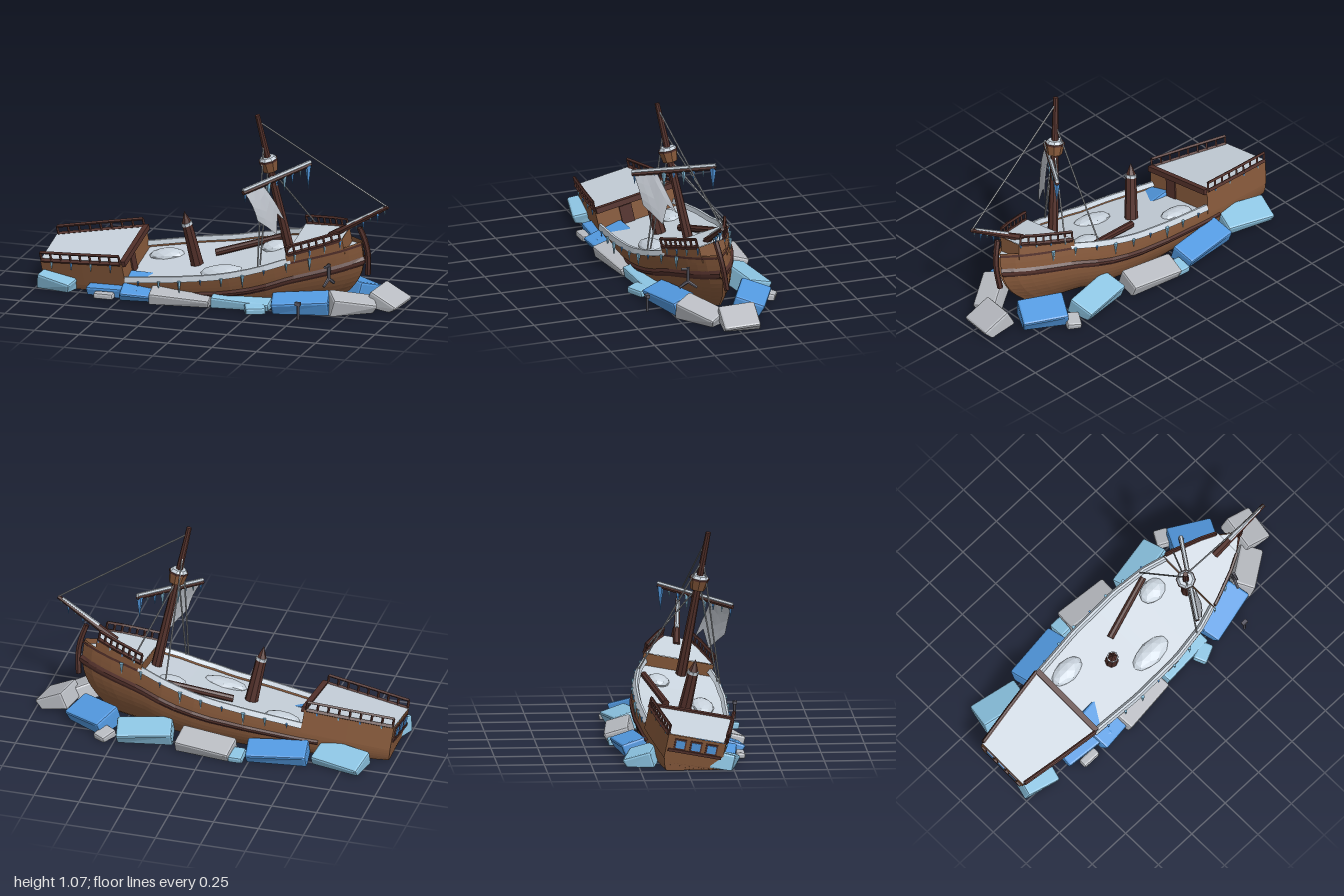
import * as THREE from 'three';
import { RoundedBoxGeometry } from 'three/addons/geometries/RoundedBoxGeometry.js';

const paint = (name, color) => new THREE.MeshStandardMaterial({ name, color, flatShading: true, side: THREE.DoubleSide });
const C = {
  wood: paint('hull wood', 0x85583a), dark: paint('dark wood', 0x52302a), snow: paint('snow', 0xc8d2dc),
  pale: paint('pale ice', 0x8cc4e2), blue: paint('blue ice', 0x5299e0), grey: paint('grey ice', 0xb8bbc1),
  metal: paint('iron', 0x5b5a66), rope: paint('rope', 0xa9adb2), sail: paint('sail', 0xb8bdc5),
};
const V = (x, y, z) => new THREE.Vector3(x, y, z);
const rad = THREE.MathUtils.degToRad;
const lerp = THREE.MathUtils.lerp;

// Ship frame: s forward, v up, u to the side; pitched bow-up and heeled over
const M = new THREE.Matrix4().makeTranslation(0, 0.2, 0.035)
  .multiply(new THREE.Matrix4().makeRotationZ(rad(7))).multiply(new THREE.Matrix4().makeRotationX(rad(11)));
const L = (s, v, u) => V(s, v, u).applyMatrix4(M);

const table = (pts) => (x) => {
  for (let i = 1; i < pts.length; i++) {
    if (x <= pts[i][0]) {
      const [a, b] = [pts[i - 1], pts[i]];
      return lerp(a[1], b[1], Math.max(0, (x - a[0]) / (b[0] - a[0])));
    }
  }
  return pts[pts.length - 1][1];
};
const STERN = -0.983;
const halfW = table([[-1, 0.15], [-0.75, 0.19], [-0.5, 0.225], [-0.2, 0.25], [0.1, 0.25], [0.3, 0.225], [0.45, 0.18], [0.62, 0.115], [0.72, 0.065], [0.79, 0.008]]);
const sheer = table([[-1, 0], [-0.5, 0], [0, 0.01], [0.2, 0.03], [0.42, 0.065], [0.79, 0.08]]);
const depth = table([[-1, 0.17], [-0.5, 0.24], [0, 0.3], [0.79, 0.4]]);
const waleTop = table([[-0.6, 0.3], [0.2, 0.29], [0.79, 0.22]]);
const quarterTop = table([[-1, 0.096], [-0.5, 0.092]]);
const foreTop = table([[0.42, 0.1], [0.71, 0.128]]);

// Point on the hull skin: t runs from the gunwale to the keel
function skin(s, t, side, off = 0) {
  const rake = 0.32 * t ** 3 * THREE.MathUtils.smoothstep(s, 0.1, 0.79);
  return L(s - rake + (s > 0.78 ? off : 0), sheer(s) - depth(s) * t, side * (halfW(s) * (1 - t ** 3) ** 0.6 + off));
}

export function createModel() {
  const root = new THREE.Group();
  const add = (name, geo, mat) => {
    const m = new THREE.Mesh(geo, mat);
    m.name = name;
    root.add(m);
    return m;
  };
  // Grid surface from a function, cut flat at the ground
  const sheet = (name, nu, nv, f, mat) => {
    const pos = [], idx = [];
    for (let i = 0; i <= nu; i++) for (let j = 0; j <= nv; j++) {
      const p = f(i / nu, j / nv);
      pos.push(p.x, Math.max(0, p.y), p.z);
      if (i < nu && j < nv) {
        const a = i * (nv + 1) + j, b = a + nv + 1;
        idx.push(a, b, a + 1, b, b + 1, a + 1);
      }
    }
    const g = new THREE.BufferGeometry();
    g.setAttribute('position', new THREE.Float32BufferAttribute(pos, 3));
    g.setIndex(idx);
    g.computeVertexNormals();
    add(name, g, mat);
  };
  // Tapered round bar between two points
  const bar = (name, a, b, r1, r2, mat, sides = 6) => {
    const d = b.clone().sub(a);
    const m = add(name, new THREE.CylinderGeometry(r2, r1, d.length(), sides), mat);
    m.position.copy(a).addScaledVector(d, 0.5);
    m.quaternion.setFromUnitVectors(V(0, 1, 0), d.normalize());
  };
  const icicle = (p, len, mat) => bar('icicle', p, p.clone().add(V(0, -len, 0)), len * 0.12 + 0.003, 0.0005, mat, 5);
  const boxL = (name, s, v, u, w, h, d, mat) => {
    const m = add(name, new THREE.BoxGeometry(w, h, d), mat);
    m.position.copy(L(s, v, u));
    m.quaternion.setFromRotationMatrix(M);
  };

  // Hull, wale, bulwark caps
  for (const k of [-1, 1]) {
    sheet('hullSide', 28, 14, (a, t) => skin(lerp(STERN, 0.79, a), t, k), C.wood);
    sheet('wale', 28, 3, (a, b) => {
      const s = lerp(-0.6, 0.79, a);
      return skin(s, waleTop(s) + 0.13 * b, k, b > 0 && b < 1 ? 0.012 : 0.001);
    }, C.dark);
    sheet('upperStrake', 28, 1, (a, b) => skin(lerp(-0.5, 0.79, a), lerp(0.02, 0.055, b), k, 0.005), C.dark);
    sheet('snowyCap', 20, 3, (a, b) => {
      const s = lerp(-0.5, 0.44, a);
      return L(s, sheer(s) + [-0.016, 0.012, 0.012, -0.01][Math.round(b * 3)], k * (halfW(s) + 0.01 - 0.036 * b));
    }, C.snow);
    for (let i = 0; i < 9; i++) icicle(skin(-0.42 + i * 0.12, 0.03, k, 0.012), 0.03 + 0.02 * ((i * 7) % 3), i % 3 ? C.pale : C.blue);
  }
  sheet('transom', 1, 14, (a, t) => skin(STERN, t, 2 * a - 1), C.wood);
  sheet('mainDeck', 24, 1, (a, b) => {
    const s = lerp(-0.5, 0.78, a);
    return L(s, sheer(s) - 0.03, (2 * b - 1) * halfW(s) * 0.99);
  }, C.snow);

  // Raised decks at both ends
  const castle = (name, s0, s1, top) => {
    const wall = (s, b, k) => L(s, lerp(sheer(s) - 0.04, top(s), b), k * (halfW(s) + 0.003));
    for (const k of [-1, 1]) sheet(name + 'Side', 8, 1, (a, b) => wall(lerp(s0, s1, a), b, k), C.wood);
    for (const s of [s0, s1]) sheet(name + 'Bulkhead', 1, 1, (a, b) => wall(s, b, 2 * a - 1), C.wood);
    sheet(name + 'Deck', 8, 1, (a, b) => wall(lerp(s0, s1, a), 1, 2 * b - 1).add(V(0, 0.002, 0)), C.snow);
  };
  castle('quarterdeck', STERN, -0.5, quarterTop);
  castle('forecastle', 0.42, 0.71, foreTop);

  // Railings with posts
  const railing = (s0, s1, top, h, n) => {
    for (const k of [-1, 1]) for (let i = 0; i <= n; i++) {
      const at = (j, v) => {
        const s = lerp(s0, s1, j / n);
        return L(s, top(s) + v, k * (halfW(s) + 0.002));
      };
      bar('railPost', at(i, 0), at(i, h), 0.007, 0.007, C.dark, 4);
      if (i < n) {
        bar('handRail', at(i, h), at(i + 1, h), 0.009, 0.009, C.dark, 4);
        bar('deckEdge', at(i, 0), at(i + 1, 0), 0.012, 0.012, C.dark, 4);
      }
      if (i % 2) icicle(at(i, -0.005), 0.045, i % 4 === 1 ? C.pale : C.blue);
    }
  };
  railing(-0.975, -0.51, quarterTop, 0.046, 8);
  railing(0.43, 0.7, foreTop, 0.046, 7);
  boxL('quarterdeckBeam', -0.497, 0.09, 0, 0.03, 0.03, 0.45, C.dark);
  boxL('cabinDoor', -0.495, 0.02, 0.06, 0.008, 0.1, 0.07, C.dark);
  boxL('sternLedge', STERN - 0.003, 0.012, 0, 0.015, 0.015, 0.29, C.dark);
  for (const u of [-0.085, 0, 0.085]) {
    boxL('windowFrame', STERN - 0.003, 0.05, u, 0.008, 0.058, 0.064, C.dark);
    boxL('sternWindow', STERN - 0.007, 0.05, u, 0.008, 0.042, 0.048, C.blue);
  }

  // Stem post and bowsprit
  const stem = new THREE.CatmullRomCurve3([L(0.795, 0.16, 0), L(0.81, 0.08, 0), L(0.812, 0, 0), L(0.79, -0.12, 0)]);
  add('stemPost', new THREE.TubeGeometry(stem, 10, 0.016, 6), C.dark);
  const sprit0 = V(0.6, 0.39, 0.055), sprit1 = V(0.935, 0.588, 0.088);
  bar('bowsprit', sprit0, sprit1, 0.02, 0.011, C.dark);
  bar('bowspritSnow', V(0.7, 0.462, 0.066), V(0.91, 0.584, 0.086), 0.011, 0.008, C.snow);
  for (let i = 0; i < 5; i++) icicle(sprit0.clone().lerp(sprit1, 0.45 + i * 0.125), 0.04 + 0.02 * (i % 2), i % 2 ? C.blue : C.pale);

  // Foremast, lookout and yard
  const foot = V(0.385, 0.24, 0.058), top = V(0.238, 1.067, 0.2);
  const onMast = (y) => foot.clone().lerp(top, (y - foot.y) / (top.y - foot.y));
  bar('foremast', foot, top, 0.03, 0.014, C.dark, 8);
  bar('lookout', onMast(0.75), onMast(0.808), 0.041, 0.052, C.wood, 8);
  bar('lookoutRim', onMast(0.804), onMast(0.814), 0.054, 0.054, C.dark, 8);
  bar('lookoutSnow', onMast(0.812), onMast(0.828), 0.051, 0.038, C.snow, 8);
  const yardA = V(0.2, 0.665, 0.328), yardB = V(0.452, 0.742, -0.055);
  bar('yard', yardA, yardB, 0.013, 0.013, C.dark);
  bar('yardSnow', yardA.clone().add(V(0, 0.013, 0)), yardB.clone().add(V(0, 0.013, 0)), 0.011, 0.011, C.snow);
  [0.06, 0.04, 0.05, 0.1, 0.06, 0.09, 0.07, 0.05, 0.13].forEach((len, i) =>
    icicle(yardA.clone().lerp(yardB, 0.03 + i * 0.117), len, i % 2 ? C.pale : C.blue));

  // Torn sail: strips hanging from the yard to a ragged edge
  const hem = [V(0.27, 0.505, 0.292), V(0.315, 0.46, 0.25), V(0.35, 0.415, 0.21), V(0.345, 0.52, 0.18), V(0.37, 0.475, 0.137)];
  sheet('tornSail', 4, 4, (a, b) => yardA.clone().lerp(yardB, 0.02 + a * 0.27).lerp(hem[Math.round(a * 4)], b)
    .add(V(0.01 * Math.sin(b * Math.PI), 0, 0)), C.sail);

  // Rigging
  [[V(0.245, 1.03, 0.193), sprit1], [onMast(0.92), V(0.26, 0.23, 0.265)], [onMast(0.92), V(0.26, 0.3, -0.185)],
    [onMast(0.8), V(0.27, 0.25, 0.25)], [onMast(0.76), V(0.46, 0.39, -0.13)]]
    .forEach(([a, b]) => bar('rigging', a, b, 0.0045, 0.0045, C.rope, 5));

  // Broken mainmast and fallen spar
  bar('brokenMast', V(-0.15, 0.12, 0.03), V(-0.197, 0.39, 0.087), 0.038, 0.029, C.dark, 8);
  bar('brokenMastTip', V(-0.197, 0.39, 0.087), V(-0.207, 0.458, 0.1), 0.029, 0.002, C.dark, 6);
  bar('brokenMastSnow', V(-0.195, 0.382, 0.085), V(-0.199, 0.397, 0.088), 0.032, 0.031, C.snow, 8);
  bar('fallenSpar', V(-0.08, 0.2, -0.05), V(0.26, 0.295, -0.145), 0.02, 0.018, C.dark, 8);

  // Snow drifts on the deck
  for (const [s, u, a, b] of [[-0.37, -0.12, 0.1, 0.058], [0.02, 0.125, 0.125, 0.062], [0.26, -0.105, 0.082, 0.06]]) {
    const m = add('snowDrift', new THREE.IcosahedronGeometry(1, 1), C.snow);
    m.position.copy(L(s, sheer(s) - 0.03, u));
    m.quaternion.setFromRotationMatrix(M);
    m.scale.set(a, 0.032, b);
  }

  // Ice floes: x, z, length, height, width, turn, tilt along x, tilt along z, material
  const floes = [
    [-0.73, -0.225, 0.28, 0.09, 0.16, -13, 3, -17, C.pale], [-0.39, -0.265, 0.33, 0.1, 0.14, 8, -3, -17, C.blue],
    [-0.18, -0.32, 0.08, 0.05, 0.1, 0, 0, -10, C.pale], [0, -0.295, 0.31, 0.1, 0.14, -7, 3, -17, C.grey],
    [0.35, -0.255, 0.3, 0.11, 0.15, 12, -4, -17, C.pale], [0.56, -0.305, 0.08, 0.05, 0.1, -30, 4, -10, C.grey],
    [0.66, -0.175, 0.25, 0.12, 0.17, -28, -4, -17, C.blue], [0.9, -0.02, 0.17, 0.1, 0.2, -8, -27, 4, C.grey],
    [0.745, 0.14, 0.25, 0.11, 0.13, 32, -12, 14, C.grey], [0.49, 0.22, 0.31, 0.11, 0.14, 14, 4, 15, C.blue],
    [0.26, 0.31, 0.11, 0.05, 0.08, 25, 0, 8, C.pale], [0.16, 0.23, 0.32, 0.08, 0.13, 4, -4, 12, C.pale],
    [-0.17, 0.28, 0.33, 0.08, 0.11, 6, -4, 14, C.grey], [-0.42, 0.215, 0.18, 0.1, 0.23, 6, -3, 19, C.blue],
    [-0.27, 0.185, 0.17, 0.11, 0.13, 10, -5, 14, C.grey], [-0.55, 0.23, 0.3, 0.075, 0.12, -5, 3, 10, C.blue],
    [-0.59, 0.31, 0.11, 0.04, 0.05, 0, 0, 4, C.grey], [-0.88, 0.2, 0.2, 0.1, 0.14, -14, -10, 12, C.pale],
  ];
  for (const [x, z, l, h, w, turn, tx, tz, mat] of floes) {
    const g = new RoundedBoxGeometry(l, h, w, 1, 0.012);
    g.applyMatrix4(new THREE.Matrix4().makeRotationFromEuler(new THREE.Euler(rad(tz), rad(turn), rad(tx), 'YXZ')));
    g.translate(x, h * 0.3, z);
    const p = g.attributes.position;
    for (let i = 0; i < p.count; i++) p.setY(i, Math.max(0, p.getY(i)));
    g.computeVertexNormals();
    add('iceFloe', g, mat);
  }

  // Anchor hanging at the bow and a mooring post in the ice
  const A = (y, z) => V(0.63 + (0.17 - z) * 0.3, y, z);
  bar('anchorShank', A(0.265, 0.17), A(0.175, 0.17), 0.009, 0.009, C.metal, 6);
  bar('anchorStock', A(0.255, 0.205), A(0.255, 0.165), 0.008, 0.008, C.metal, 6);
  for (const k of [-1, 1]) bar('anchorArm', A(0.185, 0.17), A(0.15, 0.17 + k * 0.045), 0.01, 0.008, C.metal, 6);
  bar('mooringPost', V(0.52, 0, 0.362), V(0.52, 0.085, 0.362), 0.008, 0.008, C.metal, 6);
  const cap = add('mooringPostCap', new THREE.BoxGeometry(0.032, 0.018, 0.02), C.metal);
  cap.position.set(0.52, 0.087, 0.362);
  return root;
}
